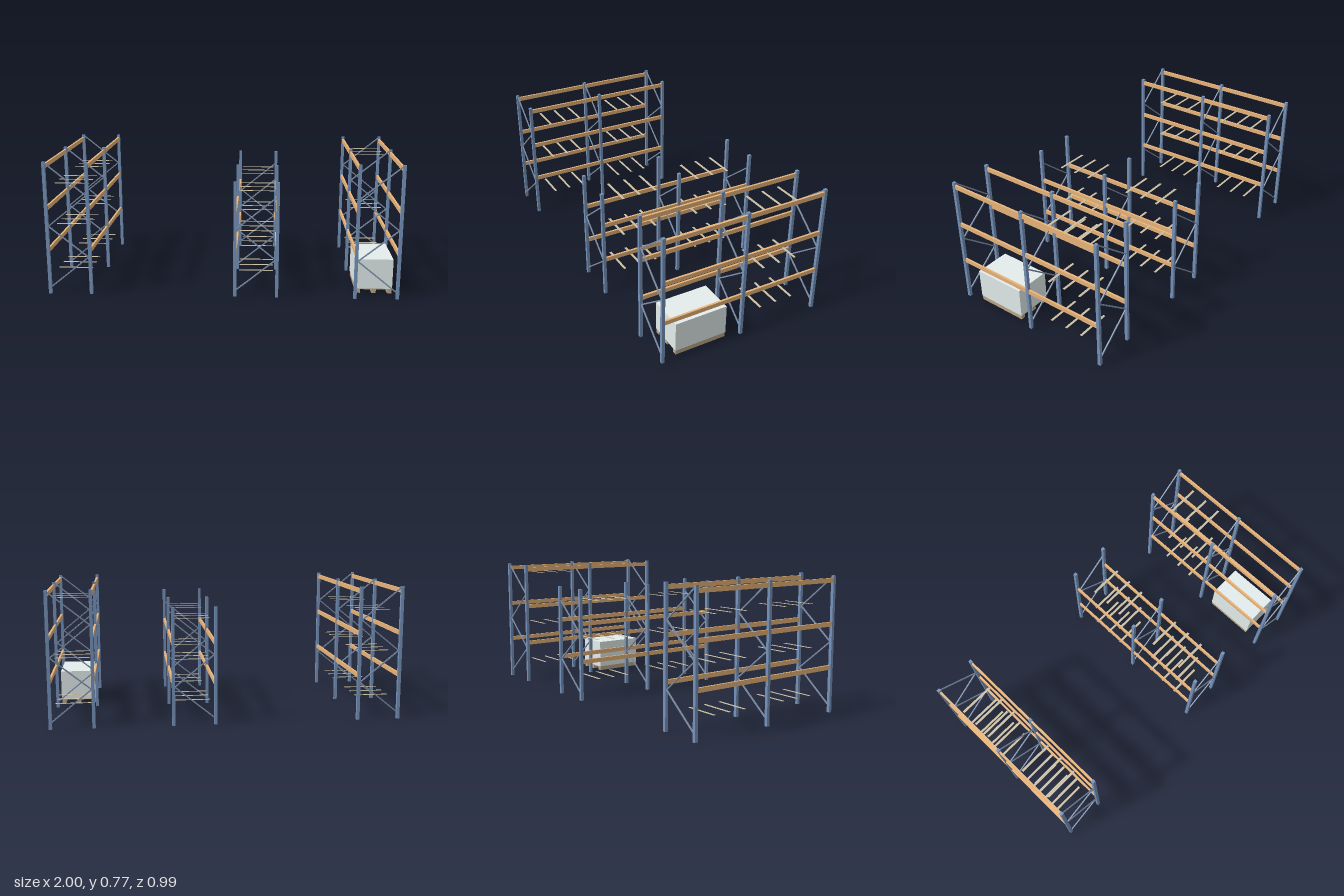
import * as THREE from 'three';

const material = (color) => new THREE.MeshStandardMaterial({ color });
const steel = material(0x7693bb);
const braceSteel = material(0x7f93ad);
const orange = material(0xeab57a);
const wood = material(0xbda888);
const slatWood = material(0xcbbfa4);
const wrap = material(0xe4eded);

const HALF_DEPTH = 0.488;
const BAY = 0.244;
const POST = 0.018;

function box(parent, name, size, position, mat) {
  const mesh = new THREE.Mesh(new THREE.BoxGeometry(...size), mat);
  mesh.position.set(...position);
  mesh.name = name;
  parent.add(mesh);
  return mesh;
}

// Thin diagonal bar between two points in one frame
function brace(parent, x0, y0, x1, y1, z) {
  const bar = box(parent, 'diagonalBrace', [Math.hypot(x1 - x0, y1 - y0), 0.007, 0.007],
    [(x0 + x1) / 2, (y0 + y1) / 2, z], braceSteel);
  bar.rotation.z = Math.atan2(y1 - y0, x1 - x0);
}

function rack({ name, x, height, beams, slats, mirror = 1, emptyBays }) {
  const group = new THREE.Group();
  group.name = name;
  group.position.x = x;
  const half = 0.119;

  // Upright frames with zigzag bracing
  for (const z of [-HALF_DEPTH, 0, HALF_DEPTH]) {
    for (const s of [-1, 1]) {
      box(group, 'uprightPost', [POST, height, POST], [s * half, height / 2, z], steel);
    }
    const nodes = [0.04, 0.22, 0.4, 0.58, 0.76].filter((y) => y < height);
    for (let i = 1; i < nodes.length; i++) {
      const side = (i % 2 ? -1 : 1) * mirror * (half - 0.008);
      brace(group, side, nodes[i - 1], -side, nodes[i], z);
    }
  }

  // Load beams on both faces, one per bay
  for (const y of beams) {
    for (const s of [-1, 1]) {
      for (const bay of [-1, 1]) {
        box(group, 'loadBeam', [0.012, 0.025, HALF_DEPTH - POST], [s * half, y, bay * HALF_DEPTH / 2], orange);
      }
    }
  }

  // Three thin cross slats per level in each empty bay
  for (const y of slats) {
    for (const bay of emptyBays) {
      for (const offset of [-0.103, 0, 0.103]) {
        box(group, 'crossSlat', [0.2, 0.0015, 0.014], [0, y, bay * BAY + offset], slatWood);
      }
    }
  }
  return group;
}

// Wrapped load on a wooden pallet
function palletLoad() {
  const group = new THREE.Group();
  group.name = 'palletLoad';
  for (const x of [-0.09, 0, 0.09]) {
    box(group, 'palletRunner', [0.026, 0.023, 0.308], [x, 0.0115, 0], wood);
  }
  box(group, 'palletDeck', [0.206, 0.006, 0.308], [0, 0.025, 0], wood);
  box(group, 'wrappedLoad', [0.21, 0.176, 0.313], [0, 0.116, 0], wrap);
  group.position.set(0.87, 0, BAY);
  return group;
}

export function createModel() {
  const model = new THREE.Group();
  model.name = 'palletRacking';
  const tall = { height: 0.77, beams: [0.258, 0.501, 0.744] };
  model.add(
    rack({ ...tall, name: 'rightRack', x: -0.872, slats: [0.11, 0.378, 0.62], emptyBays: [-1, 1] }),
    rack({ name: 'middleRack', x: 0.191, height: 0.668, beams: [0.233, 0.462], slats: [0.11, 0.35, 0.587], emptyBays: [-1, 1] }),
    rack({ ...tall, name: 'leftRack', x: 0.872, slats: [0.11, 0.373, 0.715], mirror: -1, emptyBays: [-1] }),
    palletLoad(),
  );
  return model;
}
